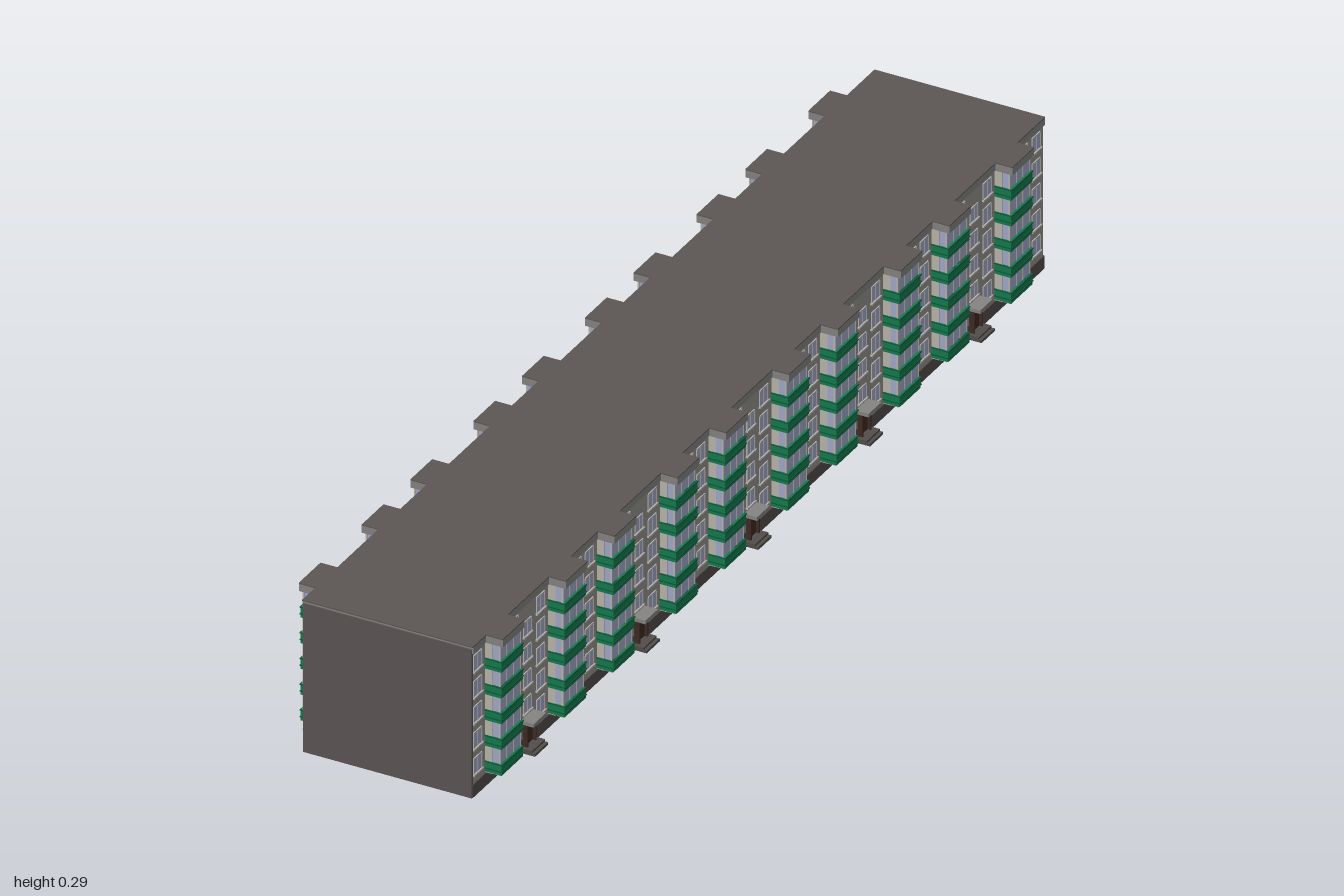
import * as THREE from 'three';

const mat = (color) => new THREE.MeshStandardMaterial({ color });
const M = {
  wall: mat(0x96928e), trim: mat(0x858483), roof: mat(0x5c5654), plinth: mat(0x524d4b),
  beige: mat(0xbab6ac), glass: mat(0xa3a9cb), green: mat(0x147a4e), rail: mat(0x0d5a39),
  door: mat(0x3f2a24), frame: mat(0xb4b2b0),
};
const unit = new THREE.BoxGeometry(1, 1, 1);

// Box given by its extents on each axis
function box(parent, name, material, [x0, x1], [y0, y1], [z0, z1]) {
  const m = new THREE.Mesh(unit, material);
  m.name = name;
  m.scale.set(Math.abs(x1 - x0), y1 - y0, z1 - z0);
  m.position.set((x0 + x1) / 2, (y0 + y1) / 2, (z0 + z1) / 2);
  parent.add(m);
}

const FLOORS = 5, STOREY = 0.05, WALL = 0.16;
const sections = [0.805, 0.415, 0.025, -0.365, -0.755];

// Framed window on the wall; s is the side of the building (+1 or -1)
function windowUnit(parent, s, y, z, w, h) {
  const g = new THREE.Group();
  g.name = 'window';
  const e = 0.003;
  const zs = [z - w / 2, z + w / 2];
  box(g, 'windowGlass', M.glass, [s * WALL, s * (WALL + 0.001)], [y, y + h], zs);
  box(g, 'windowSill', M.frame, [s * WALL, s * (WALL + 0.004)], [y - e, y], [zs[0] - e, zs[1] + e]);
  box(g, 'windowHead', M.frame, [s * WALL, s * (WALL + 0.002)], [y + h, y + h + 0.002], zs);
  for (const zz of [zs[0], z, zs[1]])
    box(g, 'windowPost', M.frame, [s * WALL, s * (WALL + 0.002)], [y, y + h], [zz - 0.001, zz + 0.001]);
  parent.add(g);
}

// Full-height stack of glazed balconies
function balconyStack(parent, s, z) {
  const g = new THREE.Group();
  g.name = 'balconyStack';
  const hw = 0.036;
  box(g, 'balconySideWall', M.beige, [s * WALL, s * 0.174], [0.026, 0.282], [z - hw, z + hw]);
  box(g, 'balconyGlazing', M.glass, [s * 0.174, s * 0.188], [0.026, 0.282], [z - hw + 0.001, z + hw - 0.001]);
  // corner and middle mullions
  for (const t of [-1, -0.33, 0.33, 1]) {
    const zz = z + t * (hw - 0.001);
    box(g, 'balconyMullion', M.beige, [s * 0.186, s * 0.189], [0.026, 0.282], [zz - 0.001, zz + 0.001]);
  }
  for (let f = 0; f < FLOORS; f++) {
    const y = 0.028 + f * STOREY;
    box(g, 'balconyPanel', M.green, [s * WALL, s * 0.192], [y, y + 0.021], [z - hw - 0.001, z + hw + 0.001]);
    for (const dy of [0.006, 0.019])
      box(g, 'balconyRail', M.rail, [s * WALL, s * 0.1935], [y + dy, y + dy + 0.002], [z - hw - 0.002, z + hw + 0.002]);
  }
  box(g, 'balconyCornice', M.trim, [s * 0.15, s * 0.195], [0.279, 0.293], [z - hw - 0.002, z + hw + 0.002]);
  box(g, 'balconyRoof', M.roof, [s * 0.15, s * 0.195], [0.293, 0.295], [z - hw - 0.002, z + hw + 0.002]);
  parent.add(g);
}

// Door with canopy, cheeks and stepped porch on the +x side
function entrance(parent, z) {
  const g = new THREE.Group();
  g.name = 'entrance';
  box(g, 'door', M.door, [0.15, 0.164], [0.009, 0.052], [z - 0.013, z + 0.013]);
  for (const t of [-1, 1])
    box(g, 'doorCheek', M.door, [WALL, 0.17], [0.009, 0.055], [z + t * 0.014 - 0.0015, z + t * 0.014 + 0.0015]);
  box(g, 'canopy', M.trim, [WALL, 0.185], [0.055, 0.062], [z - 0.022, z + 0.022]);
  box(g, 'porch', M.plinth, [WALL, 0.182], [0, 0.009], [z - 0.023, z + 0.023]);
  box(g, 'porchStep', M.plinth, [0.182, 0.188], [0, 0.005], [z - 0.023, z + 0.023]);
  parent.add(g);
}

export function createModel() {
  const model = new THREE.Group();
  model.name = 'apartmentBlock';

  // Main volume
  box(model, 'walls', M.wall, [-WALL, WALL], [0.024, 0.283], [-0.997, 0.997]);
  box(model, 'plinth', M.plinth, [-0.162, 0.162], [0, 0.025], [-1, 0.998]);
  box(model, 'cornice', M.trim, [-0.163, 0.163], [0.28, 0.293], [-1, 0.998]);
  box(model, 'roof', M.roof, [-0.163, 0.163], [0.293, 0.295], [-1, 1]);
  box(model, 'frontEndWall', M.roof, [-0.161, 0.161], [0, 0.289], [0.996, 1]);

  for (const s of [-1, 1]) {
    const facade = new THREE.Group();
    facade.name = s > 0 ? 'leftFacade' : 'rightFacade';
    for (const c of sections) {
      for (const o of [-0.11, 0.11]) balconyStack(facade, s, c + o);
      // flat windows beside the balconies
      for (const o of [-0.174, -0.046, 0.046, 0.174])
        for (let f = 0; f < FLOORS; f++) windowUnit(facade, s, 0.043 + f * STOREY, c + o, 0.028, 0.029);
      // stairwell windows at half-landings, ordinary ones where there is no stair
      if (s > 0) {
        for (let f = 0; f < FLOORS - 1; f++) windowUnit(facade, s, 0.07 + f * STOREY, c, 0.026, 0.026);
        entrance(facade, c);
      } else {
        for (let f = 0; f < FLOORS; f++) windowUnit(facade, s, 0.043 + f * STOREY, c, 0.028, 0.029);
      }
    }
    // last column at the far end
    for (let f = 0; f < FLOORS; f++) windowUnit(facade, s, 0.043 + f * STOREY, -0.972, 0.028, 0.029);
    model.add(facade);
  }
  return model;
}
